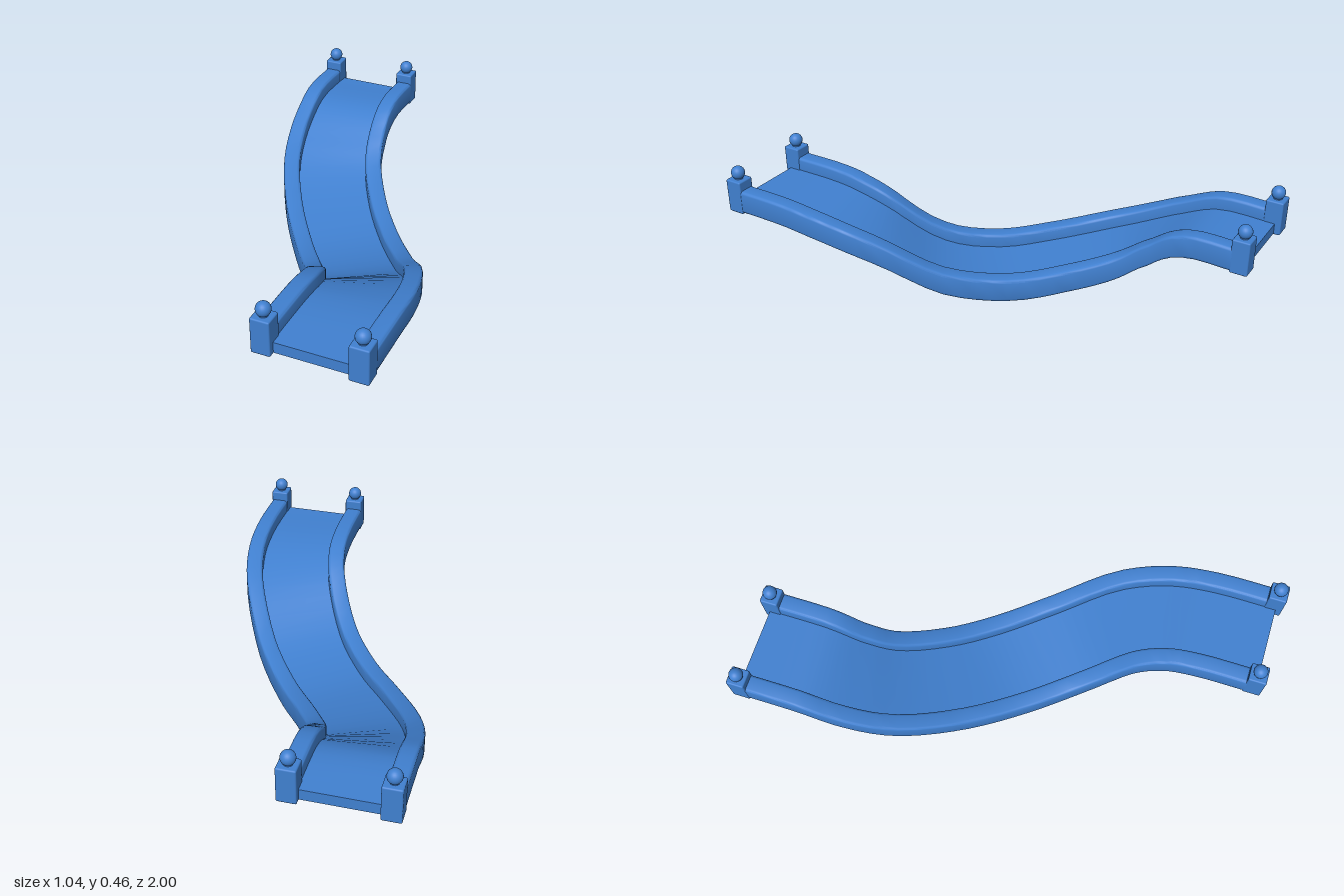
import * as THREE from 'three';
import { toCreasedNormals } from 'three/addons/utils/BufferGeometryUtils.js';
import { RoundedBoxGeometry } from 'three/addons/geometries/RoundedBoxGeometry.js';

const blue = new THREE.MeshStandardMaterial({ color: 0x4080d0 });

// S-shaped centre line of the bridge underside, dipping in the middle
const path = new THREE.CatmullRomCurve3([
  [-0.305, 0.27, -0.975], [-0.305, 0.265, -0.73], [-0.295, 0.19, -0.57],
  [-0.255, 0.11, -0.415], [-0.14, 0.037, -0.2], [0, 0.005, 0],
  [0.14, 0.047, 0.2], [0.255, 0.185, 0.415], [0.295, 0.243, 0.57],
  [0.305, 0.268, 0.72], [0.305, 0.27, 0.975],
].map((p) => new THREE.Vector3(...p)));

// Sweep a convex counter-clockwise [side, up] profile along the path, keeping it upright
function sweep(profile, steps = 40) {
  const n = profile.length;
  const positions = [];
  const index = [];
  for (let i = 0; i <= steps; i++) {
    const p = path.getPoint(i / steps);
    const t = path.getTangent(i / steps).setY(0).normalize();
    for (const [u, v] of profile) positions.push(p.x + t.z * u, p.y + v, p.z - t.x * u);
  }
  for (let i = 0; i < steps; i++) {
    for (let j = 0; j < n; j++) {
      const a = i * n + j;
      const b = i * n + ((j + 1) % n);
      index.push(a, b, b + n, a, b + n, a + n);
    }
  }
  // End caps
  const end = steps * n;
  for (let j = 1; j < n - 1; j++) {
    index.push(0, j + 1, j, end, end + j, end + j + 1);
  }
  const geometry = new THREE.BufferGeometry();
  geometry.setAttribute('position', new THREE.Float32BufferAttribute(positions, 3));
  geometry.setIndex(index);
  return toCreasedNormals(geometry, 0.6);
}

// Rectangle with small rounded corners
function roundedProfile(x0, x1, y0, y1, r) {
  const points = [];
  const corners = [[x1 - r, y0 + r], [x1 - r, y1 - r], [x0 + r, y1 - r], [x0 + r, y0 + r]];
  corners.forEach(([cx, cy], k) => {
    for (let s = 0; s <= 3; s++) {
      const a = (k - 1 + s / 3) * Math.PI / 2;
      points.push([cx + r * Math.cos(a), cy + r * Math.sin(a)]);
    }
  });
  return points;
}

function addMesh(parent, name, geometry, x = 0, y = 0, z = 0) {
  const mesh = new THREE.Mesh(geometry, blue);
  mesh.name = name;
  mesh.position.set(x, y, z);
  parent.add(mesh);
}

export function createModel() {
  const model = new THREE.Group();
  model.name = 'curvedBridge';

  // Walkway and the two side rails
  addMesh(model, 'deck', sweep([[-0.16, 0], [0.16, 0], [0.16, 0.043], [-0.16, 0.043]]));
  addMesh(model, 'leftRail', sweep(roundedProfile(0.145, 0.215, 0, 0.098, 0.012)));
  addMesh(model, 'rightRail', sweep(roundedProfile(-0.215, -0.145, 0, 0.098, 0.012)));

  // Corner posts with ball finials
  const postGeometry = new RoundedBoxGeometry(0.074, 0.143, 0.072, 2, 0.006);
  const neckGeometry = new THREE.CylinderGeometry(0.014, 0.02, 0.016, 16);
  const ballGeometry = new THREE.SphereGeometry(0.028, 24, 16);
  for (const end of [-1, 1]) {
    for (const side of [-1, 1]) {
      const post = new THREE.Group();
      post.name = (end > 0 ? 'front' : 'back') + (side > 0 ? 'Left' : 'Right') + 'Post';
      post.position.set(end * 0.306 + side * 0.179, 0, end * 0.964);
      addMesh(post, 'postBlock', postGeometry, 0, 0.337, 0);
      addMesh(post, 'finialNeck', neckGeometry, 0, 0.41, 0);
      addMesh(post, 'finialBall', ballGeometry, 0, 0.434, 0);
      model.add(post);
    }
  }
  return model;
}
